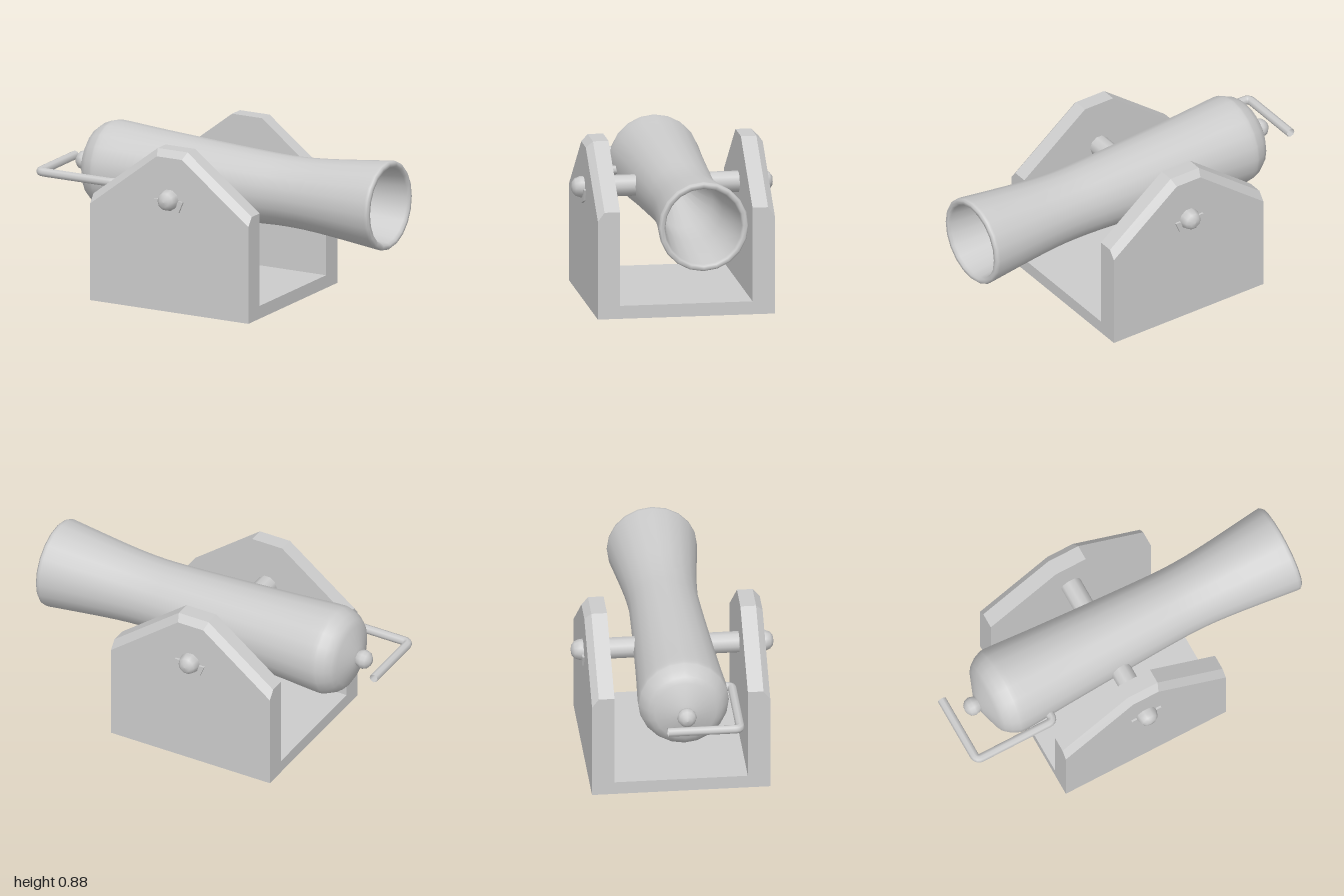
import * as THREE from 'three';
import { ConvexGeometry } from 'three/addons/geometries/ConvexGeometry.js';

const AXIS_Y = 0.612, PIVOT_X = -0.07;
const v2 = (x, y) => new THREE.Vector2(x, y);
const v3 = (x, y, z) => new THREE.Vector3(x, y, z);

export function createModel() {
  const model = new THREE.Group();
  const smooth = new THREE.MeshStandardMaterial({ color: 0xcccccc, side: THREE.DoubleSide });
  const flat = new THREE.MeshStandardMaterial({ color: 0xcccccc, flatShading: true });

  const add = (parent, name, geometry, material) => {
    const mesh = new THREE.Mesh(geometry, material);
    mesh.name = name;
    parent.add(mesh);
    return mesh;
  };

  // Turned shape lying along x; profile points are (radius, x)
  const turned = (name, points, sides) => {
    const geometry = new THREE.LatheGeometry(points, sides).rotateZ(-Math.PI / 2);
    const mesh = add(model, name, geometry, smooth);
    mesh.position.y = AXIS_Y;
    return mesh;
  };

  // Barrel: rounded breech, waist, flared muzzle, then back down the bore
  const outside = new THREE.SplineCurve([
    v2(0.237, -0.69), v2(0.24, -0.64), v2(0.224, -0.4), v2(0.205, -0.05),
    v2(0.191, 0.25), v2(0.188, 0.42), v2(0.2, 0.62), v2(0.239, 0.975),
  ]).getPoints(24);
  turned('barrel', [
    v2(0, -0.825), v2(0.06, -0.82), v2(0.165, -0.78), v2(0.195, -0.762), v2(0.22, -0.73),
    ...outside,
    v2(0.239, 0.99), v2(0.231, 1), v2(0.213, 1), v2(0.204, 0.985),
    v2(0.165, 0.6), v2(0.15, 0.35), v2(0, -0.3),
  ], 20);

  // Knob behind the breech
  turned('breechKnob', [
    v2(0, -0.9), v2(0.025, -0.895), v2(0.045, -0.878), v2(0.052, -0.855),
    v2(0.046, -0.832), v2(0.032, -0.81),
  ], 12);

  // Trunnion: one shaft with domed ends, along z
  const shaft = turned('trunnion', [
    v2(0, -0.537), v2(0.028, -0.533), v2(0.046, -0.518), v2(0.057, -0.49),
    v2(0.057, 0.49), v2(0.046, 0.518), v2(0.028, 0.533), v2(0, 0.537),
  ], 10);
  shaft.rotation.y = -Math.PI / 2;
  shaft.position.x = PIVOT_X;

  // Gabled side plate with a bevelled outer edge
  const section = (z, shoulder, peak, halfPeak) => [
    v3(-0.48, 0, z), v3(0.48, 0, z), v3(0.48, shoulder, z),
    v3(halfPeak, peak, z), v3(-halfPeak, peak, z), v3(-0.48, shoulder, z),
  ];
  const plate = new ConvexGeometry([
    ...section(0.353, 0.575, 0.875, 0.09),
    ...section(0.436, 0.575, 0.875, 0.09),
    ...section(0.472, 0.528, 0.84, 0.076),
  ]);

  // Half-octagon cradle under each shaft end
  const arc = new THREE.Shape();
  for (let i = 0; i <= 4; i++) {
    const a = Math.PI + (i * Math.PI) / 4;
    arc[i ? 'lineTo' : 'moveTo'](0.088 * Math.cos(a), 0.088 * Math.sin(a));
  }
  for (let i = 4; i >= 0; i--) {
    const a = Math.PI + (i * Math.PI) / 4;
    arc.lineTo(0.056 * Math.cos(a), 0.056 * Math.sin(a));
  }
  const cradle = new THREE.ExtrudeGeometry(arc, { depth: 0.02, bevelEnabled: false });
  cradle.translate(0, AXIS_Y, 0.463);

  for (const [name, turn] of [['frontSide', 0], ['backSide', Math.PI]]) {
    const side = new THREE.Group();
    side.name = name;
    side.position.x = PIVOT_X;
    side.rotation.y = turn;
    add(side, 'sidePlate', plate, flat);
    add(side, 'shaftCradle', cradle, flat);
    model.add(side);
  }

  // Floor joining the plates
  const floor = add(model, 'floor', new THREE.BoxGeometry(0.96, 0.07, 0.71), flat);
  floor.position.set(PIVOT_X, 0.035, 0);

  // Aiming handle: bent rod leaving the barrel side and crossing behind the knob
  const corners = [v3(-0.515, 0, 0.19), v3(-0.515, 0, 0.272), v3(-0.975, 0, 0.272), v3(-0.975, 0, -0.113)];
  const path = new THREE.CurvePath();
  let from = corners[0];
  for (let i = 1; i < 3; i++) {
    const toward = (p) => corners[i].clone().add(p.clone().sub(corners[i]).setLength(0.03));
    const start = toward(corners[i - 1]), end = toward(corners[i + 1]);
    path.add(new THREE.LineCurve3(from, start));
    path.add(new THREE.QuadraticBezierCurve3(start, corners[i], end));
    from = end;
  }
  path.add(new THREE.LineCurve3(from, corners[3]));
  const handle = add(model, 'handle', new THREE.TubeGeometry(path, 90, 0.024, 8), smooth);
  handle.position.y = 0.597;

  return model;
}
